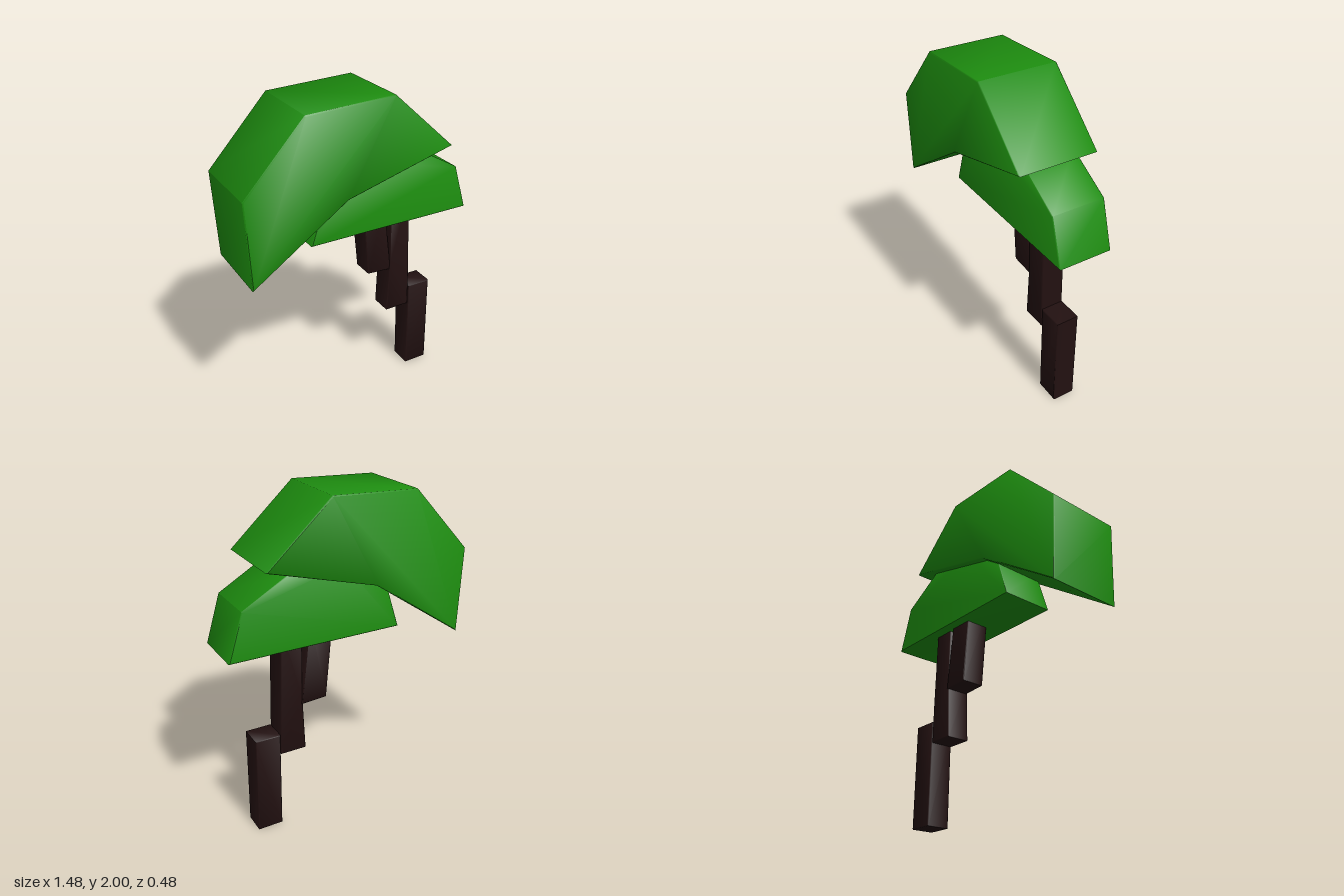
import * as THREE from 'three';
import { toCreasedNormals } from 'three/addons/utils/BufferGeometryUtils.js';

const leaf = new THREE.MeshStandardMaterial({ color: 0x1d8c0f });
const bark = new THREE.MeshStandardMaterial({ color: 0x231111 });

// Solid slab: an outline in x/y between two depths, with a tiny softened edge
function slab(name, outline, zBack, zFront, bevel, material) {
  const shape = new THREE.Shape(outline.map(([x, y]) => new THREE.Vector2(x, y)));
  const geometry = new THREE.ExtrudeGeometry(shape, {
    depth: zFront - zBack - 2 * bevel,
    bevelEnabled: true,
    bevelThickness: bevel,
    bevelSize: bevel,
    bevelOffset: -bevel,
    bevelSegments: 1,
  });
  geometry.translate(0, 0, zBack + bevel);
  const mesh = new THREE.Mesh(toCreasedNormals(geometry, 0.87), material);
  mesh.name = name;
  return mesh;
}

export function createModel() {
  const tree = new THREE.Group();
  tree.name = 'tree';

  // Stepped trunk, each piece offset from the one below
  tree.add(
    slab('lowerTrunk', [[0.442, 0], [0.596, 0], [0.591, 0.622], [0.434, 0.622]], -0.14, 0.005, 0.005, bark),
    slab('upperTrunk', [[0.272, 0.49], [0.432, 0.49], [0.43, 0.7], [0.41, 1.3], [0.28, 1.3], [0.287, 0.85]],
      -0.14, 0.005, 0.005, bark),
    slab('sideBranch', [[0.135, 0.8], [0.295, 0.79], [0.235, 1.3], [0.087, 1.3]], -0.146, 0, 0.005, bark),
  );

  // Two overlapping leaf masses, the large one draped over the small one
  tree.add(
    slab('lowerCanopy', [[-0.315, 1.175], [0.74, 1.175], [0.653, 1.455], [0.375, 1.615], [0.05, 1.615], [-0.225, 1.455]],
      -0.2, 0.126, 0.005, leaf),
    slab('upperCanopy', [[-0.72, 1.07], [-0.14, 1.467], [0.525, 1.65], [0.14, 2], [-0.385, 1.977], [-0.742, 1.592]],
      -0.238, 0.238, 0.006, leaf),
  );
  return tree;
}
